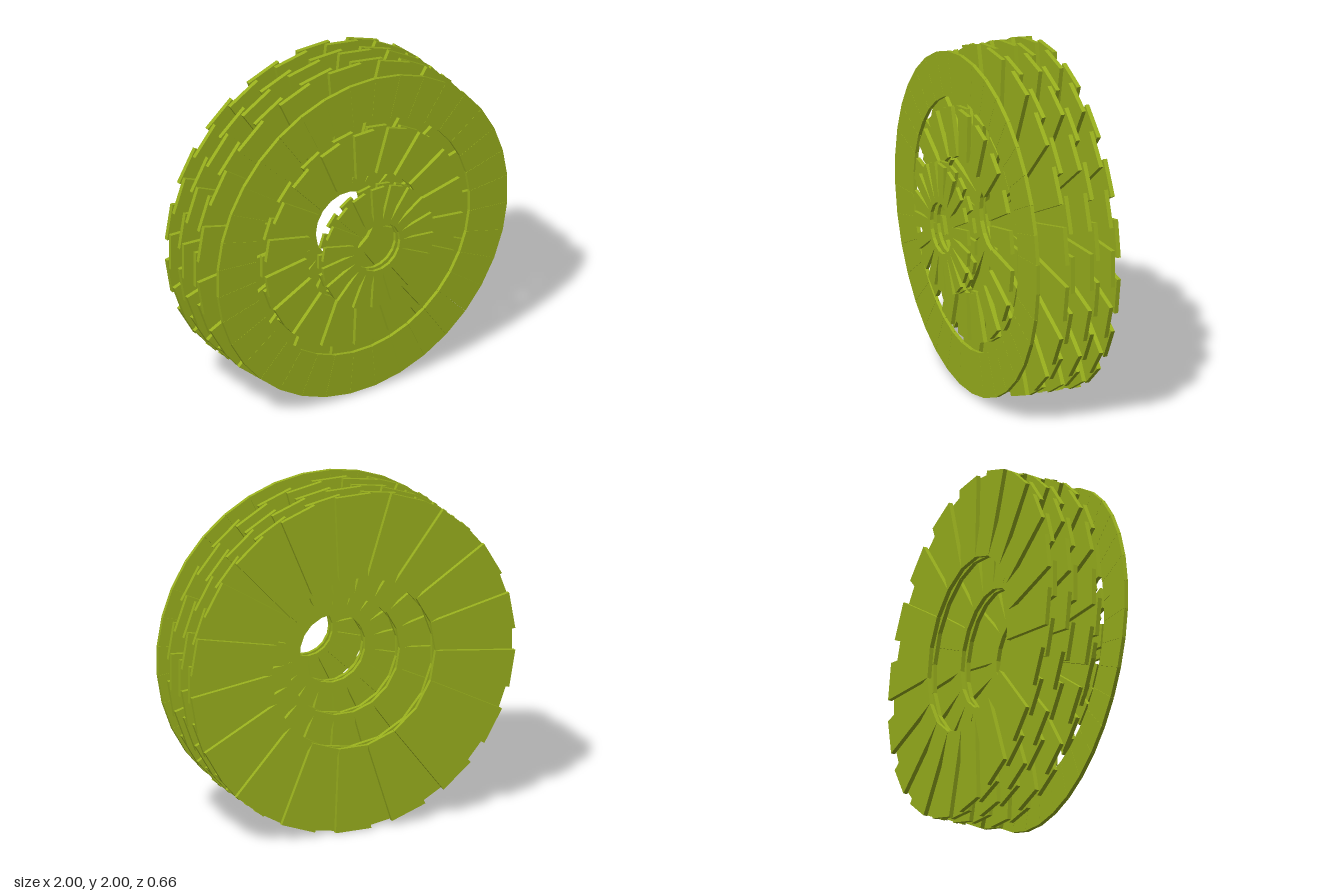
import * as THREE from 'three';

const material = new THREE.MeshStandardMaterial({ color: 0x99b01d, side: THREE.DoubleSide });
const TOP = Math.PI / 2;

// One flat blade pointing along +x: straight ends at the two radii, each with its own half width
function bladeGeometry({ inner, outer, innerHalf, outerHalf, depth }) {
  const shape = new THREE.Shape([
    new THREE.Vector2(inner, -innerHalf),
    new THREE.Vector2(outer, -outerHalf),
    new THREE.Vector2(outer, outerHalf),
    new THREE.Vector2(inner, innerHalf),
  ]);
  const geometry = new THREE.ExtrudeGeometry(shape, { depth, bevelEnabled: false });
  geometry.translate(0, 0, -depth / 2);
  return geometry;
}

// A flat ring of equal blades, the first one at the start angle
function bladeRing(name, geometry, count, z, start) {
  const ring = new THREE.Group();
  ring.name = name;
  ring.position.z = z;
  for (let i = 0; i < count; i++) {
    const blade = new THREE.Mesh(geometry, material);
    blade.name = 'blade';
    blade.rotation.z = start + (i * Math.PI * 2) / count;
    ring.add(blade);
  }
  return ring;
}

// Two rings of 18 blades; the blades of one stand in the gaps of the other
function stage({ name, centredZ, turnedZ, ...blade }) {
  const group = new THREE.Group();
  group.name = name;
  const geometry = bladeGeometry(blade);
  group.add(
    bladeRing('centredRing', geometry, 18, centredZ, TOP),
    bladeRing('turnedRing', geometry, 18, turnedZ, TOP + Math.PI / 18),
  );
  return group;
}

export function createModel() {
  const model = new THREE.Group();
  model.name = 'bladedRotor';

  const stages = [
    // Small nose stage and medium stage
    { name: 'noseStage', centredZ: 0.323, turnedZ: 0.281, inner: 0.146, outer: 0.375, innerHalf: 0.028, outerHalf: 0.043, depth: 0.02 },
    { name: 'mediumStage', centredZ: 0.186, turnedZ: 0.143, inner: 0.39, outer: 0.668, innerHalf: 0.054, outerHalf: 0.067, depth: 0.024 },
    // Full-size stages with a bore that widens towards the back
    { name: 'largeFrontStage', centredZ: -0.005, turnedZ: -0.04, inner: 0.2, outer: 0.995, innerHalf: 0.04, outerHalf: 0.109, depth: 0.024 },
    { name: 'largeMiddleStage', centredZ: -0.193, turnedZ: -0.157, inner: 0.34, outer: 0.995, innerHalf: 0.063, outerHalf: 0.109, depth: 0.024 },
    { name: 'largeRearStage', centredZ: -0.32, turnedZ: -0.286, inner: 0.5, outer: 0.995, innerHalf: 0.088, outerHalf: 0.109, depth: 0.024 },
  ];
  for (const options of stages) model.add(stage(options));

  // Single closed rim around the medium stage
  const rimBlade = bladeGeometry({ inner: 0.727, outer: 0.982, innerHalf: 0.063, outerHalf: 0.0855, depth: 0.022 });
  model.add(bladeRing('frontRim', rimBlade, 36, 0.168, TOP));

  // Stand the rotor on the ground
  model.position.y = 1;
  const root = new THREE.Group();
  root.add(model);
  return root;
}
